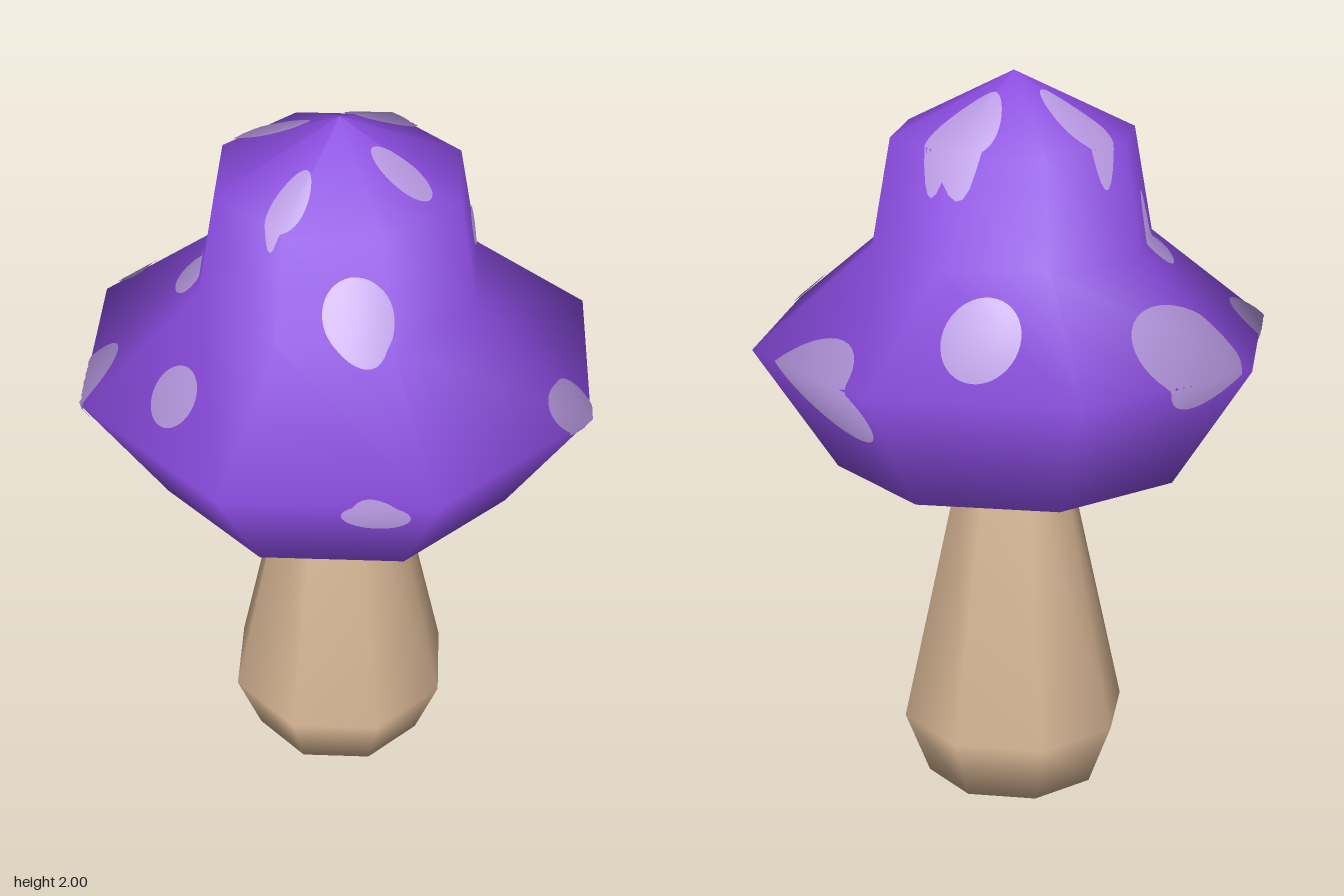
import * as THREE from 'three';

const SIDES = 8;
const RAD = Math.PI / 180;

const lathe = (name, profile, material) => {
  const points = profile.map(([r, y]) => new THREE.Vector2(r, y));
  const mesh = new THREE.Mesh(new THREE.LatheGeometry(points, SIDES), material);
  mesh.name = name;
  return mesh;
};

// Thin patch that follows the cap: an egg-shaped outline (half-length a, half-width b,
// turned by spin, wider at its far end by taper) projected from a given direction.
// u and v are measured in the projection plane from one unit above the ground.
function makeSpot(cap, material, azimuth, elevation, u, v, a, b, spin = 0, taper = 0) {
  const az = azimuth * RAD, el = elevation * RAD, turn = spin * RAD;
  const dir = new THREE.Vector3(Math.sin(az) * Math.cos(el), Math.sin(el), Math.cos(az) * Math.cos(el));
  const right = new THREE.Vector3(Math.cos(az), 0, -Math.sin(az));
  const up = dir.clone().cross(right);
  const back = dir.clone().negate();
  const rings = 12, n = 40;

  const ray = new THREE.Raycaster();
  const positions = [], normals = [], valid = [], index = [];
  for (let k = 0; k <= rings; k++) {
    for (let j = 0; j < n; j++) {
      const t = (j / n) * Math.PI * 2, s = k / rings;
      const p = new THREE.Vector2(a * Math.cos(t), b * Math.sin(t) * (1 + taper * Math.cos(t)))
        .multiplyScalar(s).rotateAround(new THREE.Vector2(), turn);
      const origin = new THREE.Vector3(0, 1, 0)
        .addScaledVector(right, u + p.x).addScaledVector(up, v + p.y).addScaledVector(dir, 3);
      ray.set(origin, back);
      const hit = ray.intersectObject(cap)[0];
      valid.push(Boolean(hit));
      const normal = hit ? hit.normal : dir;
      const point = hit ? hit.point.clone().addScaledVector(normal, 0.006) : new THREE.Vector3(0, 1.5, 0);
      positions.push(...point.toArray());
      normals.push(...normal.toArray());
    }
  }
  const face = (...f) => { if (f.every((i) => valid[i])) index.push(...f); };
  for (let k = 0; k < rings; k++) {
    for (let j = 0; j < n; j++) {
      const p = k * n + j, q = k * n + (j + 1) % n;
      face(p, p + n, q + n);
      if (k > 0) face(p, q + n, q);
    }
  }
  const geometry = new THREE.BufferGeometry();
  geometry.setAttribute('position', new THREE.Float32BufferAttribute(positions, 3));
  geometry.setAttribute('normal', new THREE.Float32BufferAttribute(normals, 3));
  geometry.setIndex(index);
  const mesh = new THREE.Mesh(geometry, material);
  mesh.name = 'capSpot';
  return mesh;
}

export function createModel() {
  const purple = new THREE.MeshStandardMaterial({ name: 'purple cap', color: 0x8a4bdf });
  const lilac = new THREE.MeshStandardMaterial({ name: 'lilac spots', color: 0xb798e0 });
  const tan = new THREE.MeshStandardMaterial({ name: 'tan stem', color: 0xdab896 });

  const model = new THREE.Group();
  model.name = 'mushroom';

  // Stem, running up into the cap
  model.add(lathe('stem', [[0, 0], [0.235, 0.105], [0.3, 0.275], [0.14, 1], [0.1, 1.2]], tan));

  // Cap and its hollow underside
  const cap = lathe('cap', [[0.465, 1], [0.675, 1.325], [0.365, 1.575], [0.315, 1.845], [0, 2]], purple);
  model.add(cap, lathe('capUnderside', [[0, 1.11], [0.465, 1]], tan));

  // Spots
  const spots = new THREE.Group();
  spots.name = 'spots';
  const spot = (...shape) => spots.add(makeSpot(cap, lilac, ...shape));
  // on the crown
  spot(0, 90, 0.147, 0.147, 0.12, 0.08, 45, 0.4);
  spot(0, 90, -0.11, 0.165, 0.115, 0.05, 120, 0.3);
  spot(0, 90, -0.175, -0.15, 0.085, 0.042, 224, 0.2);
  spot(0, 90, 0.097, -0.15, 0.082, 0.04, -55, 0.1);
  // on the upright neck of the cap
  spot(0, 0, -0.07, 0.645, 0.105, 0.078, 90);
  spot(90, 0, -0.058, 0.66, 0.045, 0.05);
  // on the slope
  spot(0, 90, -0.48, -0.175, 0.055, 0.07);
  spot(0, 90, 0.19, 0.45, 0.095, 0.09);
  spot(0, 90, -0.34, 0.12, 0.062, 0.042, 60, 0.2);
  // around the brim
  spot(0, 0, -0.125, 0.275, 0.08, 0.06, -25);
  spot(35, 25, 0.1, 0.06, 0.075, 0.067);
  spot(90, 0, 0.26, 0.285, 0.155, 0.115, -15);
  spot(215, 25, -0.02, 0.11, 0.14, 0.13);
  spot(270, 0, -0.09, 0.3, 0.1, 0.1);
  model.add(spots);
  return model;
}
